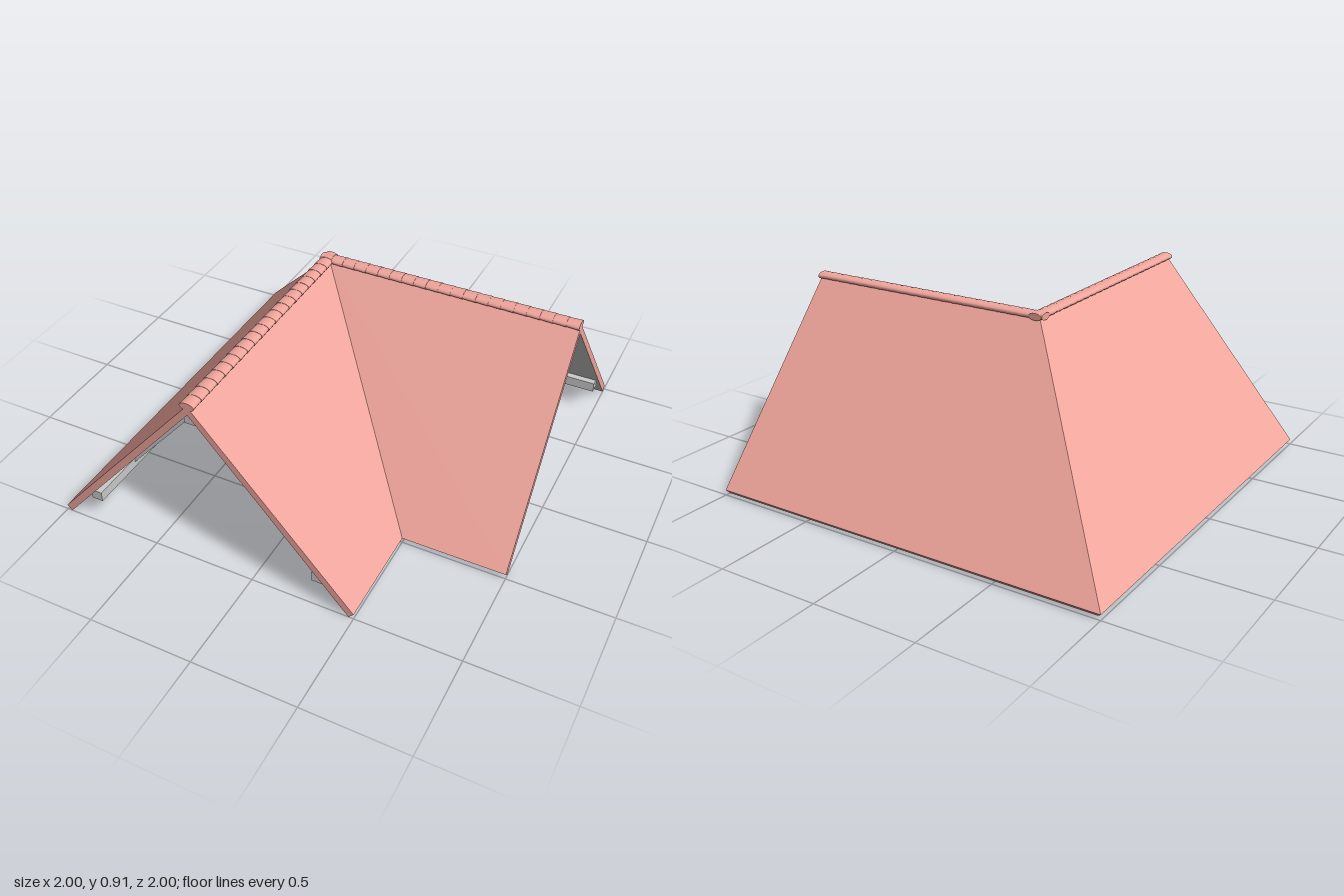
import * as THREE from 'three';

const grey = new THREE.MeshStandardMaterial({ color: 0xcccccc });
const pink = new THREE.MeshStandardMaterial({ color: 0xf0a59c });

const RIDGE = -0.25, LEFT = -0.82, RIGHT = 0.32;

// The two wings mirror each other across the plane x = z
const toWing = (swap, [x, y, z]) => new THREE.Vector3(...(swap ? [z, y, x] : [x, y, z]));

// Flat-shaded geometry from planar quads, corners counter-clockwise
function quadGeometry(quads, swap) {
  const pts = [];
  for (const quad of quads) {
    const q = quad.map((p) => toWing(swap, p));
    if (swap) q.reverse();
    pts.push(q[0], q[1], q[2], q[0], q[2], q[3]);
  }
  const geo = new THREE.BufferGeometry().setFromPoints(pts);
  geo.computeVertexNormals();
  return geo;
}

export function createModel() {
  const model = new THREE.Group();
  model.name = 'cornerRoof';

  const add = (name, geo, material, parent = model) => {
    const mesh = new THREE.Mesh(geo, material);
    mesh.name = name;
    parent.add(mesh);
    return mesh;
  };

  // Lays a z-aligned geometry from a to b
  const place = (mesh, a, b) => {
    mesh.position.copy(a).add(b).multiplyScalar(0.5);
    mesh.lookAt(b);
    return mesh;
  };

  const beam = (name, a, b, w, h, parent) =>
    place(add(name, new THREE.BoxGeometry(w, h, a.distanceTo(b)), grey, parent), a, b);

  // Roof section, clockwise from the outer left eave
  const section = [[-1, 0.025], [RIDGE, 0.897], [0.5, 0.025], [0.475, 0], [RIDGE, 0.85], [-0.975, 0]];
  const end = section.map(([x, y]) => [x, y, 1]);
  const mitre = section.map(([x, y]) => [x, y, x]);
  const side = (i) => {
    const j = (i + 1) % 6;
    return [end[i], end[j], mitre[j], mitre[i]];
  };

  for (const swap of [false, true]) {
    const wing = new THREE.Group();
    wing.name = swap ? 'sideWing' : 'frontWing';
    model.add(wing);
    const at = (x, y, z) => toWing(swap, [x, y, z]);

    // Roof covering with eaves and gable edge, and its grey underside
    const gable = [[end[0], end[5], end[4], end[1]], [end[1], end[4], end[3], end[2]]];
    add('roofCovering', quadGeometry([side(0), side(1), side(2), side(5), ...gable], swap), pink, wing);
    add('roofUnderside', quadGeometry([side(3), side(4)], swap), grey, wing);

    // Wall plates and ridge beam
    beam('outerWallPlate', at(LEFT, 0.15, LEFT - 0.028), at(LEFT, 0.15, 0.985), 0.055, 0.05, wing);
    beam('innerWallPlate', at(RIGHT, 0.15, RIGHT - 0.04), at(RIGHT, 0.15, 0.985), 0.055, 0.05, wing);
    beam('ridgeBeam', at(RIDGE, 0.815, RIDGE), at(RIDGE, 0.815, 0.985), 0.055, 0.05, wing);

    // Common rafters
    for (const z of [0.7, 0.3, RIDGE]) {
      beam('outerRafter', at(LEFT, 0.155, z), at(RIDGE, 0.815, z), 0.04, 0.045, wing);
      if (z > 0) beam('innerRafter', at(RIGHT, 0.155, z), at(RIDGE, 0.815, z), 0.04, 0.045, wing);
    }

    // Overlapping rounded ridge tiles
    const count = 21, start = -0.285, step = (1 - start) / count;
    const tile = new THREE.CylinderGeometry(0.036, 0.033, step, 16);
    tile.rotateX(Math.PI / 2);
    tile.scale(1, 0.5, 1);
    for (let i = 0; i < count; i++) {
      const z = start + i * step;
      place(add('ridgeTile', tile, pink, wing), at(RIDGE, 0.893, z), at(RIDGE, 0.893, z + step));
    }
  }

  // Hip and valley rafters on the diagonal, and the post under the ridge corner
  const top = new THREE.Vector3(RIDGE, 0.815, RIDGE);
  beam('hipRafter', new THREE.Vector3(LEFT, 0.145, LEFT), top, 0.04, 0.045);
  beam('valleyRafter', new THREE.Vector3(RIGHT, 0.145, RIGHT), top, 0.04, 0.045);
  add('cornerPost', new THREE.BoxGeometry(0.055, 0.69, 0.055), grey).position.set(RIDGE, 0.47, RIDGE);

  return model;
}
